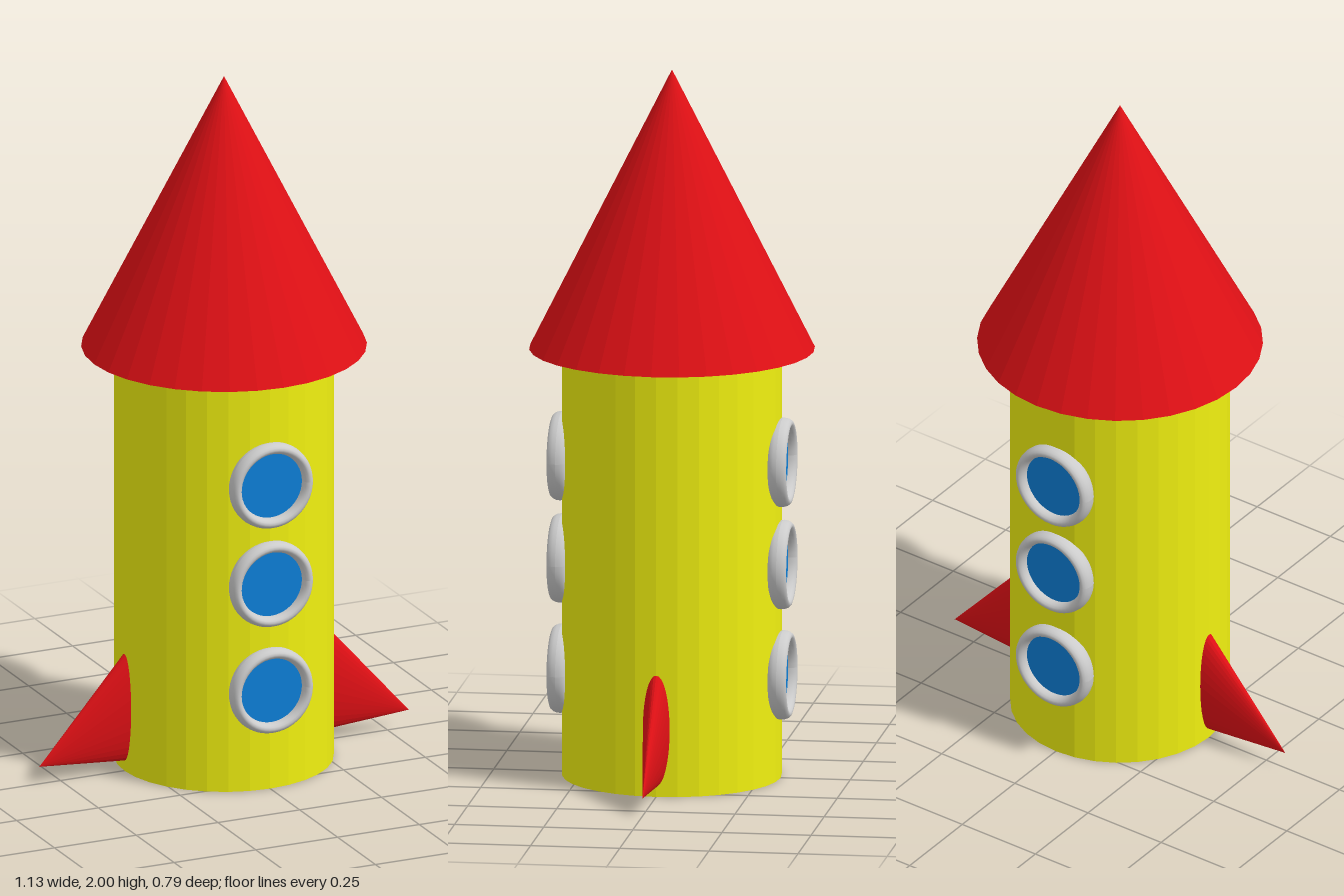
import * as THREE from 'three';

const SIDES = 32;
const mat = (color, flatShading) => new THREE.MeshStandardMaterial({ color, flatShading });

export function createModel() {
  const rocket = new THREE.Group();
  rocket.name = 'rocket';
  const red = mat(0xe01015, true);
  const yellow = mat(0xf0f010, true);
  const blue = mat(0x0d7fd8, true);
  const grey = mat(0xcccccc, false);

  const add = (parent, name, geometry, material) => {
    const mesh = new THREE.Mesh(geometry, material);
    mesh.name = name;
    parent.add(mesh);
    return mesh;
  };

  // Straight body and overhanging nose cone
  const bodyHeight = 1.21;
  add(rocket, 'body', new THREE.CylinderGeometry(0.305, 0.305, bodyHeight, SIDES), yellow)
    .position.y = bodyHeight / 2;
  add(rocket, 'noseCone', new THREE.ConeGeometry(0.397, 2 - bodyHeight, SIDES), red)
    .position.y = (2 + bodyHeight) / 2;

  // Fins: thin elliptical cones leaning down to a tip, rooted inside the body
  const root = { x: 0.25, y: 0.216, height: 0.19, width: 0.045 };
  const tip = { x: 0.565, y: 0.05 };
  for (const side of [1, -1]) {
    const length = tip.x - root.x;
    const fin = new THREE.ConeGeometry(1, length, SIDES);
    fin.scale(root.height, 1, root.width);
    fin.rotateZ(-Math.PI / 2);
    fin.translate(root.x + length / 2, root.y, 0);
    // Shear the cone so its tip drops to the right height
    const p = fin.attributes.position;
    for (let i = 0; i < p.count; i++) {
      const t = (p.getX(i) - root.x) / length;
      p.setY(i, p.getY(i) + t * (tip.y - root.y));
    }
    if (side < 0) fin.rotateY(Math.PI);
    fin.computeVertexNormals();
    add(rocket, side > 0 ? 'leftFin' : 'rightFin', fin, red);
  }

  // Portholes: three on the front, three on the back
  const rim = new THREE.TorusGeometry(0.109, 0.0155, 16, 48);
  rim.scale(1, 1, 1.7);
  rim.computeVertexNormals();
  const glass = new THREE.CylinderGeometry(0.1, 0.1, 0.05, SIDES);
  glass.rotateX(Math.PI / 2);
  for (const facing of [0, Math.PI]) {
    const column = new THREE.Group();
    column.name = facing ? 'backPortholes' : 'frontPortholes';
    column.rotation.y = facing;
    for (const y of [0.292, 0.605, 0.895]) {
      add(column, 'portholeRim', rim, grey).position.set(0, y, 0.31);
      add(column, 'portholeGlass', glass, blue).position.set(0, y, 0.287);
    }
    rocket.add(column);
  }
  return rocket;
}
